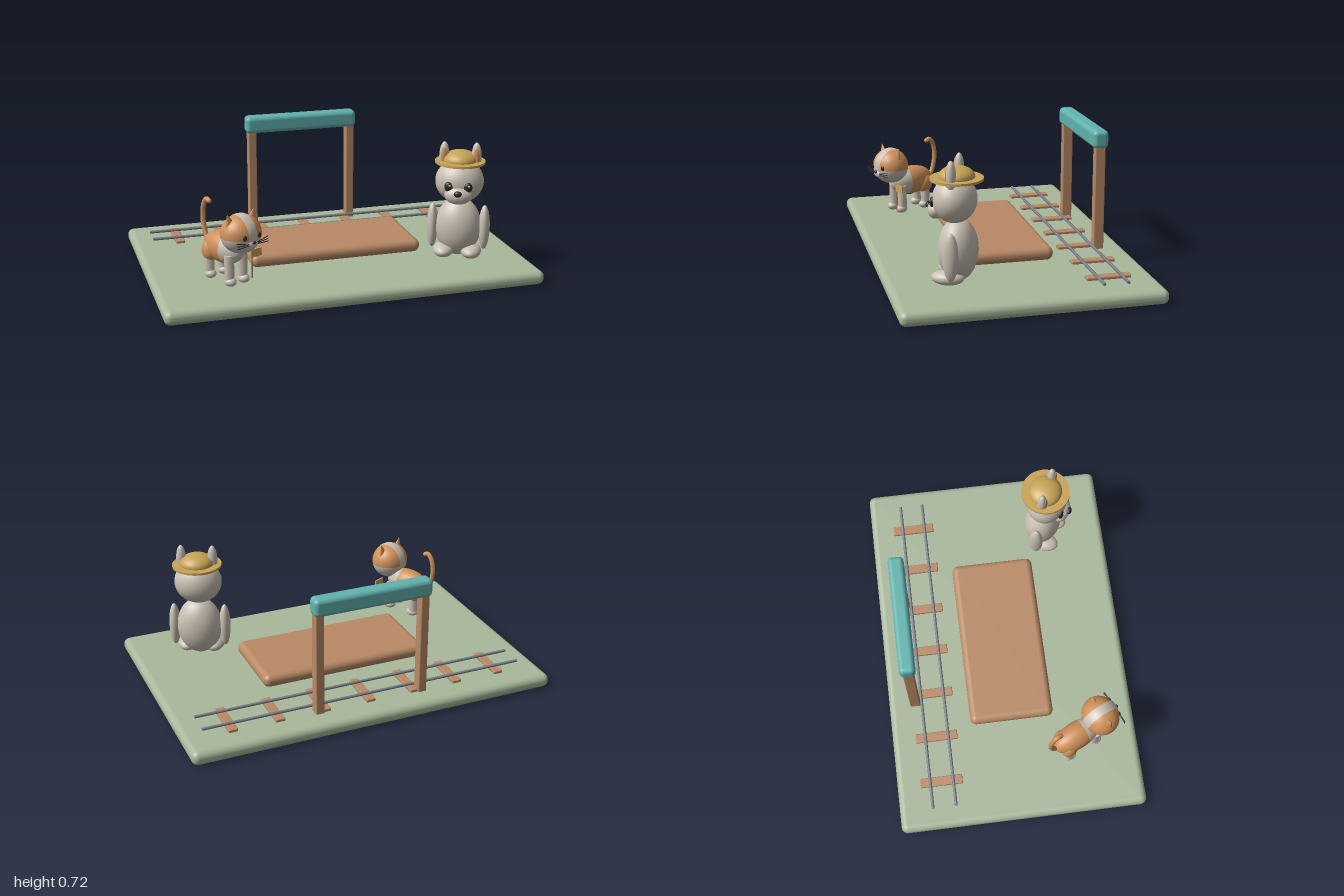
import * as THREE from 'three';
import { RoundedBoxGeometry } from 'three/addons/geometries/RoundedBoxGeometry.js';

const paint = (name, color) => {
  const m = new THREE.MeshStandardMaterial({ color });
  m.name = name;
  return m;
};

export function createModel() {
  const grass = paint('sage green', 0xa9b89c);
  const wood = paint('warm wood', 0xb98a66);
  const teal = paint('teal', 0x62b3ae);
  const steel = paint('rail grey', 0x7b8089);
  const cream = paint('cream', 0xc9c0b3);
  const orange = paint('orange fur', 0xcf9159);
  const straw = paint('straw', 0xc9a457);
  const dark = paint('near black', 0x292725);

  const model = new THREE.Group();
  model.name = 'stationScene';

  const add = (parent, name, geometry, material, x = 0, y = 0, z = 0) => {
    const mesh = new THREE.Mesh(geometry, material);
    mesh.name = name;
    mesh.position.set(x, y, z);
    parent.add(mesh);
    return mesh;
  };
  const roundBox = (parent, name, material, size, pos, radius) =>
    add(parent, name, new RoundedBoxGeometry(...size, 4, radius), material, ...pos);
  // Ellipsoid with radii r
  const blob = (parent, name, material, r, pos) => {
    const g = new THREE.SphereGeometry(1, 32, 20);
    g.scale(...r);
    return add(parent, name, g, material, ...pos);
  };
  // Thin rod between two points
  const rod = (parent, name, material, a, b, r) => {
    const from = new THREE.Vector3(...a), to = new THREE.Vector3(...b);
    const dir = to.clone().sub(from);
    const mesh = add(parent, name, new THREE.CylinderGeometry(r, r, dir.length(), 10), material);
    mesh.position.copy(from).add(to).multiplyScalar(0.5);
    mesh.quaternion.setFromUnitVectors(new THREE.Vector3(0, 1, 0), dir.normalize());
    return mesh;
  };

  // Ground and platform
  roundBox(model, 'ground', grass, [2, 0.075, 1.33], [0, 0.0375, 0], 0.034);
  roundBox(model, 'platform', wood, [0.935, 0.072, 0.455], [0, 0.12, -0.003], 0.034);

  // Railway track
  for (let i = -3; i <= 3; i++) {
    roundBox(model, 'sleeper', wood, [0.05, 0.018, 0.23], [i * 0.25, 0.081, -0.425], 0.005);
  }
  for (const z of [-0.485, -0.36]) {
    rod(model, 'rail', steel, [-0.895, 0.096, z], [0.895, 0.096, z], 0.008);
  }

  // Gate
  for (const s of [-1, 1]) {
    roundBox(model, 'gatePost', wood, [0.046, 0.57, 0.056], [s * 0.289, 0.355, -0.522], 0.006);
  }
  roundBox(model, 'gateBeam', teal, [0.645, 0.096, 0.084], [-0.002, 0.672, -0.523], 0.024);

  // Bear-like dog with a straw hat
  const dog = new THREE.Group();
  dog.name = 'dog';
  dog.position.set(0.642, 0, 0.318);
  dog.rotation.y = -0.45;
  model.add(dog);
  blob(dog, 'dogBody', cream, [0.122, 0.16, 0.1], [0, 0.25, -0.005]);
  blob(dog, 'dogHead', cream, [0.128, 0.118, 0.11], [0, 0.505, 0.01]);
  blob(dog, 'dogMuzzle', cream, [0.072, 0.048, 0.045], [0, 0.45, 0.1]);
  blob(dog, 'dogNose', dark, [0.021, 0.016, 0.014], [0, 0.468, 0.142]);
  for (const s of [-1, 1]) {
    blob(dog, 'dogEar', cream, [0.027, 0.08, 0.025], [s * 0.084, 0.635, 0.008]);
    blob(dog, 'dogInnerEar', orange, [0.016, 0.055, 0.008], [s * 0.084, 0.635, 0.028]);
    blob(dog, 'dogEye', dark, [0.023, 0.027, 0.014], [s * 0.05, 0.497, 0.109]);
    blob(dog, 'dogEyeGlint', cream, [0.006, 0.006, 0.004], [s * 0.05 + 0.006, 0.506, 0.121]);
    blob(dog, 'dogArm', cream, [0.03, 0.122, 0.04], [s * 0.138, 0.25, 0]);
    blob(dog, 'dogFoot', cream, [0.055, 0.037, 0.083], [s * 0.073, 0.125, 0.03]);
  }
  add(dog, 'hatBrim', new THREE.CylinderGeometry(0.132, 0.132, 0.012, 40), straw, 0, 0.608, 0);
  blob(dog, 'hatCrown', straw, [0.092, 0.052, 0.09], [0, 0.618, 0]);

  // Cat
  const cat = new THREE.Group();
  cat.name = 'cat';
  cat.position.set(-0.625, 0, 0.34);
  cat.rotation.y = 0.45;
  model.add(cat);

  // Body split into an orange back and a cream chest, poles along z
  const bodyPart = (name, material, start, length) => {
    const g = new THREE.SphereGeometry(1, 32, 20, 0, Math.PI * 2, start, length);
    g.rotateX(Math.PI / 2);
    g.scale(0.072, 0.082, 0.14);
    add(cat, name, g, material, 0, 0.262, -0.02);
  };
  bodyPart('catChest', cream, 0, 1.3);
  bodyPart('catBack', orange, 1.3, Math.PI - 1.3);

  // Head split into an orange cap and a cream lower face
  const head = new THREE.Group();
  head.name = 'catHead';
  head.position.set(0, 0.37, 0.122);
  cat.add(head);
  const headPart = (name, material, start, length) => {
    const g = new THREE.SphereGeometry(1, 36, 20, 0, Math.PI * 2, start, length);
    g.scale(0.108, 0.1, 0.097);
    add(head, name, g, material);
  };
  headPart('catHeadTop', orange, 0, 1.68);
  headPart('catLowerFace', cream, 1.68, Math.PI - 1.68);
  const stripe = new THREE.SphereGeometry(1, 48, 8, 0, Math.PI * 2, Math.PI / 2 - 0.24, 0.48);
  stripe.rotateZ(Math.PI / 2);
  stripe.scale(0.109, 0.102, 0.099);
  add(head, 'catHeadStripe', stripe, cream);
  blob(head, 'catMuzzle', cream, [0.036, 0.022, 0.02], [0, -0.035, 0.085]);
  blob(head, 'catNose', dark, [0.011, 0.008, 0.008], [0, -0.022, 0.105]);
  for (const s of [-1, 1]) {
    const ear = add(head, 'catEar', new THREE.ConeGeometry(0.036, 0.075, 20), orange, s * 0.073, 0.08, 0);
    ear.rotation.z = -s * 0.3;
    ear.scale.z = 0.6;
    blob(head, 'catEye', dark, [0.011, 0.014, 0.008], [s * 0.045, 0.004, 0.088]);
    for (const k of [-1, 0, 1]) {
      rod(head, 'whisker', dark, [s * 0.028, -0.03 + k * 0.005, 0.098],
        [s * 0.098, -0.026 + k * 0.014, 0.092], 0.0022);
    }
    // Legs and paws
    for (const z of [0.075, -0.09]) {
      rod(cat, 'catLeg', cream, [s * 0.042, 0.11, z], [s * 0.042, 0.25, z], 0.026);
      blob(cat, 'catPaw', cream, [0.029, 0.024, 0.035], [s * 0.042, 0.112, z + 0.006]);
    }
    blob(cat, 'catHaunch', orange, [0.034, 0.055, 0.045], [s * 0.042, 0.235, -0.09]);
  }

  // Curled tail
  const tailPath = new THREE.CatmullRomCurve3([
    [0.24, -0.13], [0.29, -0.17], [0.38, -0.192], [0.455, -0.18], [0.485, -0.155], [0.478, -0.135],
  ].map(([y, z]) => new THREE.Vector3(0, y, z)));
  add(cat, 'catTail', new THREE.TubeGeometry(tailPath, 32, 0.013, 12), orange);
  blob(cat, 'catTailTip', orange, [0.013, 0.013, 0.013], [0, 0.478, -0.135]);

  // Small flag beside the cat
  rod(cat, 'flagPole', wood, [0.06, 0.12, 0.128], [0.06, 0.272, 0.128], 0.005);
  add(cat, 'flag', new THREE.BoxGeometry(0.06, 0.042, 0.008), straw, 0.092, 0.249, 0.128);

  return model;
}
